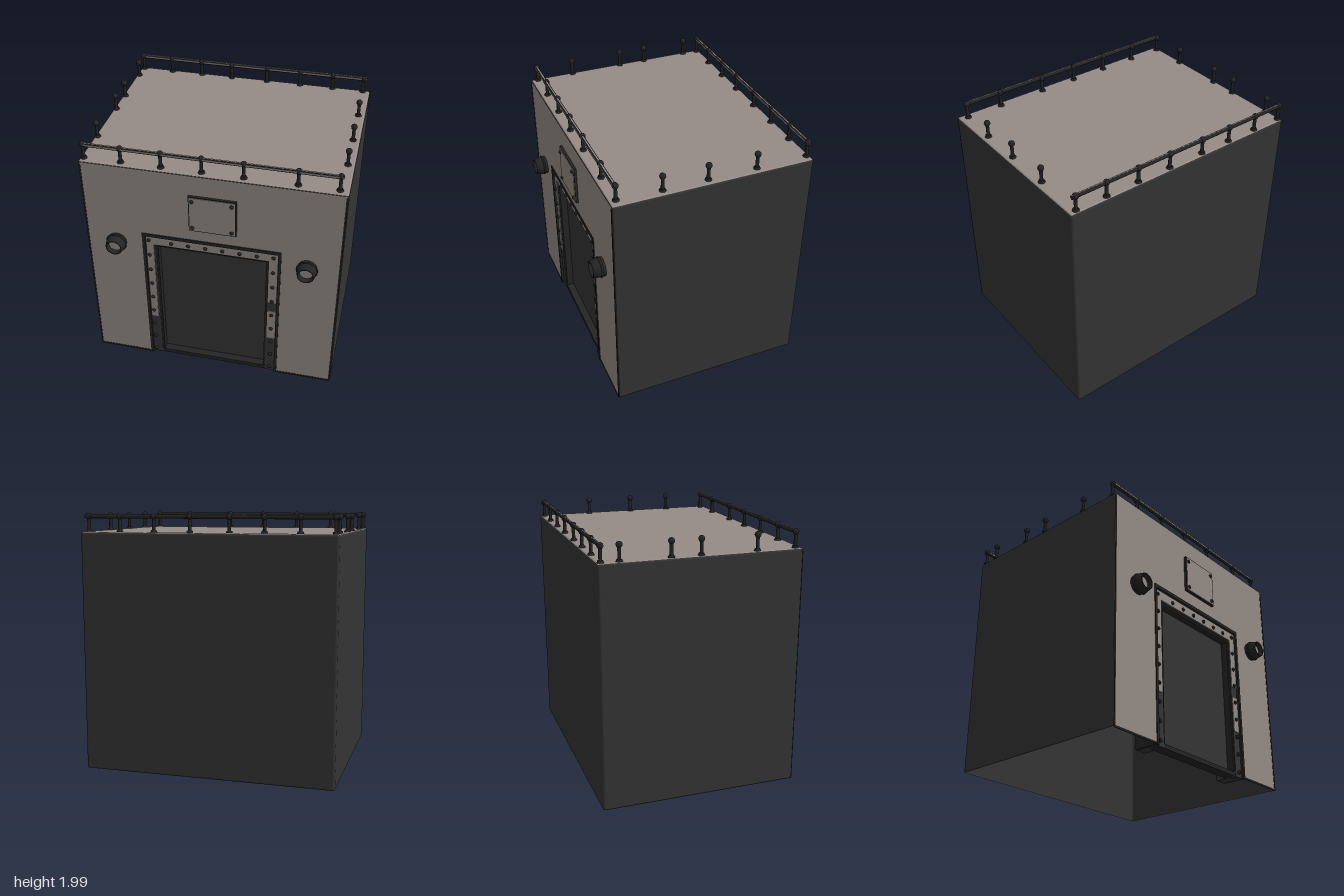
import * as THREE from 'three';
import { RoundedBoxGeometry } from 'three/addons/geometries/RoundedBoxGeometry.js';

const flat = (name, color) => new THREE.MeshStandardMaterial({ name, color, side: THREE.DoubleSide });

export function createModel() {
  const pale = flat('warmGreyPaint', 0x958b86);
  const dark = flat('darkIron', 0x343434);
  const black = flat('blackTrim', 0x232423);
  const model = new THREE.Group();

  const add = (name, geo, mat, x = 0, y = 0, z = 0, parent = model) => {
    const m = new THREE.Mesh(geo, mat);
    m.name = name;
    m.position.set(x, y, z);
    parent.add(m);
    return m;
  };
  // Box given by its limits
  const slab = (name, mat, x0, x1, y0, y1, z0, z1) =>
    add(name, new THREE.BoxGeometry(x1 - x0, y1 - y0, z1 - z0), mat,
      (x0 + x1) / 2, (y0 + y1) / 2, (z0 + z1) / 2);
  // Upside-down U outline, open at the floor
  const arch = (wOut, hOut, wIn, hIn, y0) => {
    const s = new THREE.Shape();
    s.moveTo(-wOut, y0).lineTo(-wOut, hOut).lineTo(wOut, hOut).lineTo(wOut, y0);
    s.lineTo(wIn, y0).lineTo(wIn, hIn).lineTo(-wIn, hIn).lineTo(-wIn, y0);
    return s;
  };
  const extrude = (shape, depth) => new THREE.ExtrudeGeometry(shape, { depth, bevelEnabled: false });

  // Shell: dark sides and back, pale roof, open underneath and in front
  const shellGeo = new RoundedBoxGeometry(1.96, 1.85, 1.53, 3, 0.02);
  shellGeo.groups = shellGeo.groups.filter(g => g.materialIndex !== 3 && g.materialIndex !== 4);
  add('shell', shellGeo, [dark, dark, pale, dark, pale, dark], 0, 0.935, -0.045);

  // Front wall with the doorway cut out
  add('frontWall', new THREE.ShapeGeometry(arch(0.974, 1.854, 0.53, 1.27, 0.012)), pale, 0, 0, 0.717);
  for (const s of [-1, 1]) {
    slab('frontEdge', black, s * 0.968 - 0.006, s * 0.968 + 0.006, 0.012, 1.84, 0.716, 0.72);
    slab('frontSill', black, s * 0.755 - 0.215, s * 0.755 + 0.215, 0.01, 0.025, 0.712, 0.72);
  }

  // Door frame, recessed panel and threshold
  add('doorTrim', extrude(arch(0.535, 1.28, 0.512, 1.253, 0.01), 0.2), black, 0, 0, 0.523);
  add('doorFrame', extrude(arch(0.515, 1.255, 0.435, 1.165, 0.01), 0.18), dark, 0, 0, 0.523);
  add('doorInnerTrim', extrude(arch(0.44, 1.17, 0.42, 1.15, 0.03), 0.06), black, 0, 0, 0.635);
  slab('doorPanel', dark, -0.435, 0.435, 0.03, 1.166, 0.61, 0.64);
  slab('doorSill', black, -0.515, 0.515, 0.01, 0.045, 0.61, 0.7);

  // Painted areas of the frame, worn away lower down
  slab('framePaintTop', pale, -0.508, 0.508, 1.175, 1.248, 0.702, 0.708);
  slab('framePaintRight', pale, -0.508, -0.452, 0.42, 1.175, 0.702, 0.708);
  slab('framePaintLeft', pale, 0.442, 0.508, 0.76, 1.175, 0.702, 0.708);
  slab('framePaintLeftLow', pale, 0.442, 0.508, 0.38, 0.67, 0.702, 0.708);

  // Frame rivets
  const rivet = new THREE.SphereGeometry(0.015, 10, 6);
  for (let i = 0; i < 9; i++)
    for (const x of [-0.487, 0.475]) add('rivet', rivet, black, x, 0.05 + 0.145 * i, 0.708);
  for (let i = 0; i < 6; i++) add('rivet', rivet, black, -0.31 + 0.132 * i, 1.205, 0.708);

  // Bolted plate above the door
  slab('plateBacking', black, -0.158, 0.198, 1.382, 1.688, 0.715, 0.737);
  slab('plateFace', pale, -0.15, 0.19, 1.39, 1.68, 0.735, 0.741);
  for (const x of [-0.13, 0.165])
    for (const y of [1.415, 1.65]) add('plateBolt', rivet, black, x, y, 0.741);

  // Hollow lamps beside the door
  const cup = new THREE.LatheGeometry(
    [[0.073, 0], [0.076, 0.03], [0.073, 0.055], [0.064, 0.095], [0.054, 0.095], [0.048, 0.045]]
      .map(p => new THREE.Vector2(...p)), 24);
  for (const x of [-0.735, 0.73]) {
    add('lampCup', cup, black, x, 1.17, 0.716).rotation.x = Math.PI / 2;
    add('lampFace', new THREE.CircleGeometry(0.055, 24), pale, x, 1.17, 0.775);
    add('lampCollar', new THREE.TorusGeometry(0.073, 0.009, 6, 24), black, x, 1.17, 0.745);
  }

  // Rail posts: foot, stem and ball
  const stem = new THREE.CylinderGeometry(0.013, 0.013, 0.12, 10);
  const foot = new THREE.CylinderGeometry(0.02, 0.026, 0.016, 10);
  const ball = new THREE.SphereGeometry(0.024, 12, 8);
  const post = (x, z) => {
    const g = new THREE.Group();
    g.name = 'railPost';
    g.position.set(x, 1.86, z);
    add('postFoot', foot, black, 0, 0.008, 0, g);
    add('postStem', stem, black, 0, 0.06, 0, g);
    add('postBall', ball, black, 0, 0.116, 0, g);
    model.add(g);
  };
  [-0.95, -0.67, -0.37, -0.07, 0.235, 0.62, 0.91].forEach(x => post(x, 0.665));
  [-0.95, -0.7, -0.44, -0.18, 0.12, 0.4, 0.67, 0.92].forEach(x => post(x, -0.78));
  [-0.65, -0.28, -0.06, 0.365].forEach(z => post(-0.955, z));
  [-0.38, -0.005, 0.335].forEach(z => post(0.925, z));

  // Rail bars, with a worn pale strip along the upper front
  for (const [z, x0, x1] of [[0.67, -0.95, 0.93], [-0.78, -0.97, 0.95]]) {
    const bar = new THREE.CylinderGeometry(0.015, 0.015, x1 - x0, 12);
    add('railBar', bar, black, (x0 + x1) / 2, 1.975, z).rotation.z = Math.PI / 2;
    slab('railStrip', pale, x0, x1, 1.971, 1.983, z + 0.01, z + 0.0155);
    slab('railTopStrip', pale, x0, x1, 1.985, 1.9905, z - 0.004, z + 0.006);
  }
  return model;
}
